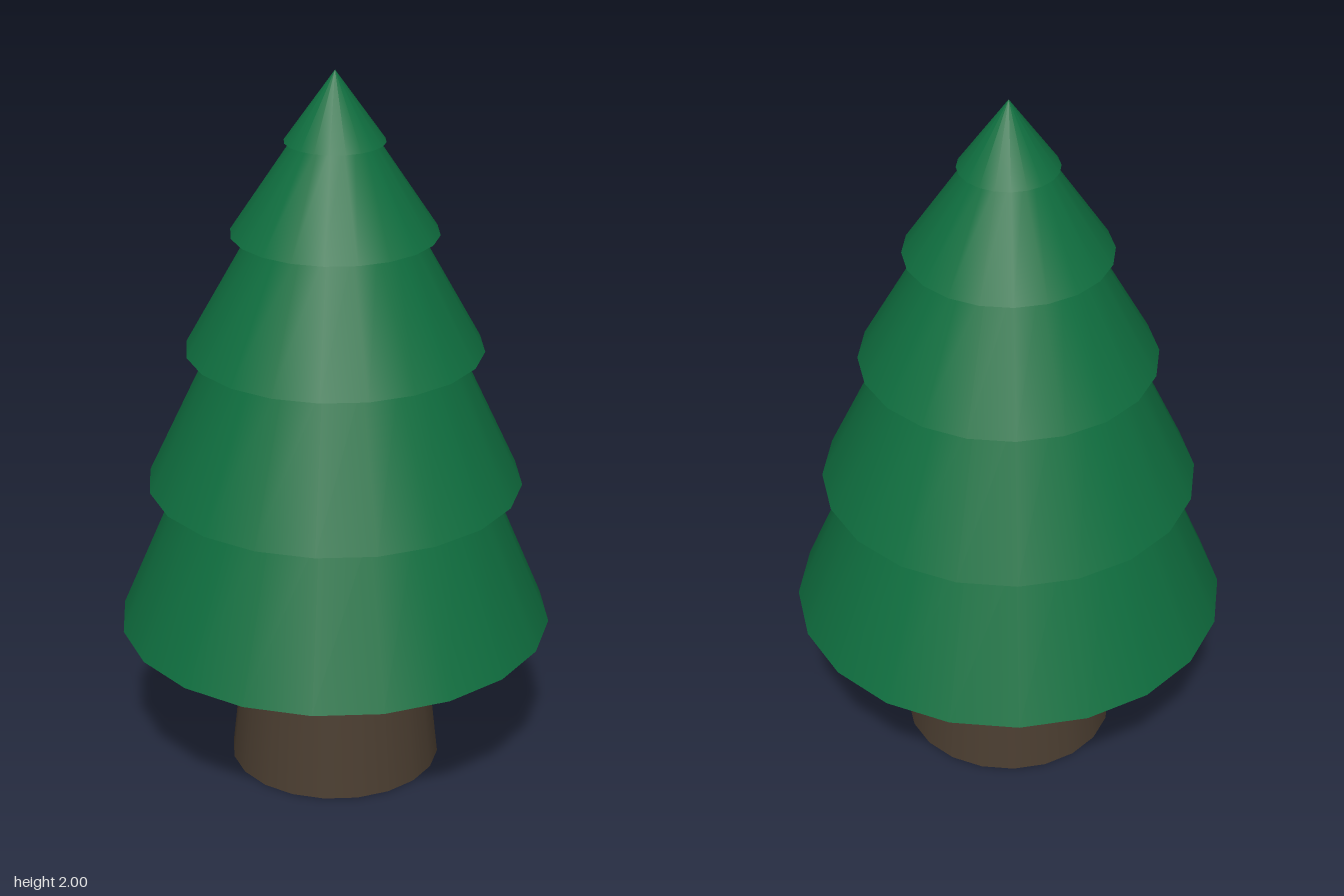
import * as THREE from 'three';

const SIDES = 20;

// Each tier: base height, base radius, height and radius where the next tier covers it
const TIERS = [
  [0.435, 0.6, 0.85, 0.425],
  [0.85, 0.515, 1.235, 0.335],
  [1.235, 0.405, 1.56, 0.225],
  [1.56, 0.28, 1.81, 0.115],
  [1.81, 0.135, 2.0, 0],
];

function frustum(name, material, y0, r0, y1, r1) {
  const mesh = new THREE.Mesh(new THREE.CylinderGeometry(r1, r0, y1 - y0, SIDES), material);
  mesh.position.y = (y0 + y1) / 2;
  mesh.name = name;
  return mesh;
}

export function createModel() {
  const tree = new THREE.Group();
  tree.name = 'pineTree';
  const bark = new THREE.MeshStandardMaterial({ color: 0x4a3d30 });
  const needles = new THREE.MeshStandardMaterial({ color: 0x0f6e3f });

  // Tapered trunk, ending at the underside of the foliage
  tree.add(frustum('trunk', bark, 0, 0.295, 0.437, 0.247));

  // Stacked foliage skirts, each tucked just inside the one above
  const foliage = new THREE.Group();
  foliage.name = 'foliage';
  TIERS.forEach(([y0, r0, y1, r1], i) => {
    const tuck = r1 > 0 ? 0.02 : 0;
    const slope = (r0 - r1) / (y1 - y0);
    foliage.add(frustum(`foliageTier${i + 1}`, needles, y0, r0, y1 + tuck, r1 - tuck * slope));
  });
  tree.add(foliage);
  return tree;
}
